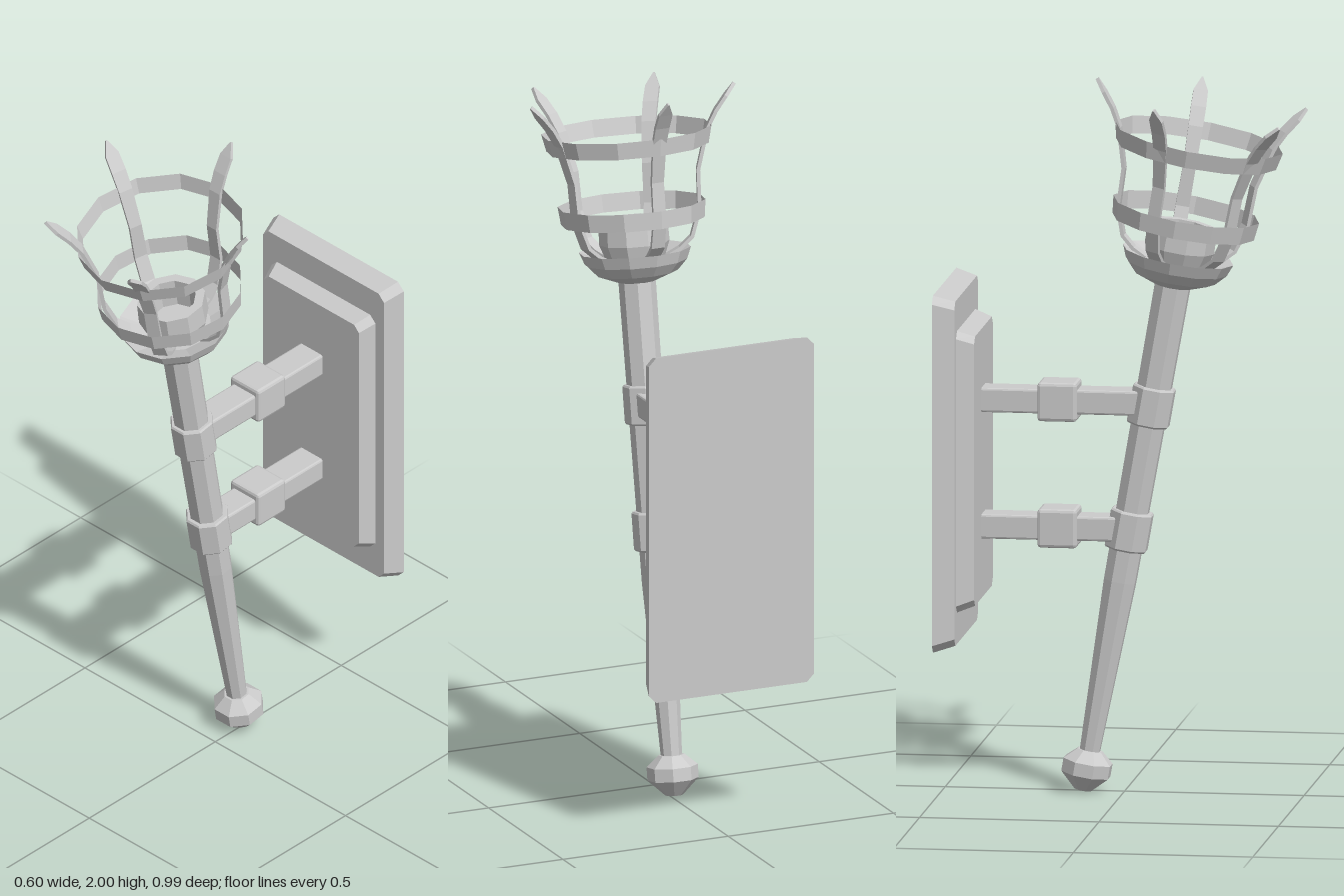
import * as THREE from 'three';
import { RoundedBoxGeometry } from 'three/addons/geometries/RoundedBoxGeometry.js';

const CX = -0.01; // shared centre line
const metal = new THREE.MeshStandardMaterial({ color: 0xcccccc, flatShading: true });
const sheet = new THREE.MeshStandardMaterial({ color: 0xcccccc, flatShading: true, side: THREE.DoubleSide });

function add(parent, name, geometry, material = metal) {
  const mesh = new THREE.Mesh(geometry, material);
  mesh.name = name;
  parent.add(mesh);
  return mesh;
}

// Faceted turned part from [radius, height] pairs
function turned(profile, sides, offset = 0) {
  return new THREE.LatheGeometry(profile.map(([r, y]) => new THREE.Vector2(r, y)), sides, offset);
}

// Slab with clipped corners whose front face is inset
function bevelledSlab(w, h, depth, inset, clip) {
  const x = w / 2, y = h / 2;
  const shape = new THREE.Shape([
    [x - clip, -y], [x, -y + clip], [x, y - clip], [x - clip, y],
    [-x + clip, y], [-x, y - clip], [-x, -y + clip], [-x + clip, -y],
  ].map(([a, b]) => new THREE.Vector2(a, b)));
  const g = new THREE.ExtrudeGeometry(shape, { depth, bevelEnabled: false });
  const p = g.attributes.position;
  for (let i = 0; i < p.count; i++) {
    if (p.getZ(i) < depth / 2) continue;
    p.setX(i, p.getX(i) * (1 - inset / x));
    p.setY(i, p.getY(i) * (1 - inset / y));
  }
  g.computeVertexNormals();
  return g;
}

// Curved flat prong, rising and flaring toward -z; rows are [radius, height, width]
function prongGeometry() {
  const rows = [
    [0.085, 1.505, 0.04], [0.125, 1.525, 0.04], [0.16, 1.555, 0.04], [0.186, 1.63, 0.038],
    [0.19, 1.74, 0.036], [0.222, 1.85, 0.04], [0.25, 1.9, 0.042], [0.281, 1.94, 0.04], [0.307, 1.972, 0.004],
  ];
  const thick = 0.01, pos = [], idx = [];
  rows.forEach(([r, y, w], i) => {
    const a = rows[Math.max(i - 1, 0)], b = rows[Math.min(i + 1, rows.length - 1)];
    const len = Math.hypot(b[0] - a[0], b[1] - a[1]);
    const nr = (b[1] - a[1]) / len * thick / 2, ny = -(b[0] - a[0]) / len * thick / 2;
    for (const [sx, sn] of [[-1, -1], [1, -1], [1, 1], [-1, 1]])
      pos.push(sx * w / 2, y + sn * ny, -(r + sn * nr));
  });
  for (let i = 0; i < rows.length - 1; i++)
    for (let k = 0; k < 4; k++) {
      const a = i * 4 + k, b = i * 4 + (k + 1) % 4;
      idx.push(a, b, b + 4, a, b + 4, a + 4);
    }
  const e = (rows.length - 1) * 4;
  idx.push(0, 2, 1, 0, 3, 2, e, e + 1, e + 2, e, e + 2, e + 3);
  const g = new THREE.BufferGeometry();
  g.setAttribute('position', new THREE.Float32BufferAttribute(pos, 3));
  g.setIndex(idx);
  g.computeVertexNormals();
  return g;
}

export function createModel() {
  const model = new THREE.Group();
  model.name = 'wallTorch';

  // Stepped wall plate
  add(model, 'wallPlate', bevelledSlab(0.5, 1.0, 0.06, 0.018, 0.022)).position.set(CX, 0.92, -0.5);
  add(model, 'raisedPanel', bevelledSlab(0.4, 0.79, 0.05, 0.018, 0.02)).position.set(CX, 0.92, -0.442);

  // Two horizontal brackets with square sleeves
  for (const [y, front] of [[1.098, 0.06], [0.744, 0.0]]) {
    const length = front + 0.4;
    add(model, 'bracketArm', new RoundedBoxGeometry(0.086, 0.068, length, 1, 0.006))
      .position.set(CX, y, front - length / 2);
    add(model, 'bracketSleeve', new RoundedBoxGeometry(0.11, 0.108, 0.11, 1, 0.009))
      .position.set(CX, y, -0.18);
  }

  // Torch, leaning forward from the wall
  const torch = new THREE.Group();
  torch.name = 'torch';
  torch.position.set(CX, 0.005, -0.115);
  torch.rotation.x = THREE.MathUtils.degToRad(10);
  model.add(torch);

  const flat = Math.PI / 8;
  add(torch, 'handle', turned([[0, 0.09], [0.029, 0.1], [0.047, 0.6], [0.052, 1.47], [0, 1.47]], 8, flat));
  add(torch, 'pommel', turned([[0, 0], [0.025, 0.003], [0.071, 0.048], [0.071, 0.085], [0.036, 0.116], [0, 0.116]], 8, flat));
  for (const y of [0.745, 1.1])
    add(torch, 'collar', turned([
      [0.045, y - 0.055], [0.058, y - 0.055], [0.062, y - 0.05],
      [0.062, y + 0.05], [0.058, y + 0.055], [0.045, y + 0.055],
    ], 8, flat));

  // Bowl and the hollow cup standing in it
  add(torch, 'bowl', turned([[0, 1.44], [0.055, 1.443], [0.115, 1.467], [0.143, 1.497], [0.156, 1.53], [0.1, 1.508], [0, 1.505]], 12));
  add(torch, 'cup', turned([[0.08, 1.5], [0.098, 1.55], [0.096, 1.615], [0.07, 1.615], [0.066, 1.53], [0, 1.53]], 10));

  // Basket hoops
  add(torch, 'lowerHoop', turned([[0.2, 1.61], [0.206, 1.66]], 12), sheet);
  add(torch, 'upperHoop', turned([[0.226, 1.817], [0.237, 1.865]], 12), sheet);

  // Five flaring prongs, slightly uneven around the basket
  const prong = prongGeometry();
  for (const angle of [0, 80, 149, 220, 290])
    add(torch, 'prong', prong, sheet).rotation.y = -THREE.MathUtils.degToRad(angle);

  return model;
}
